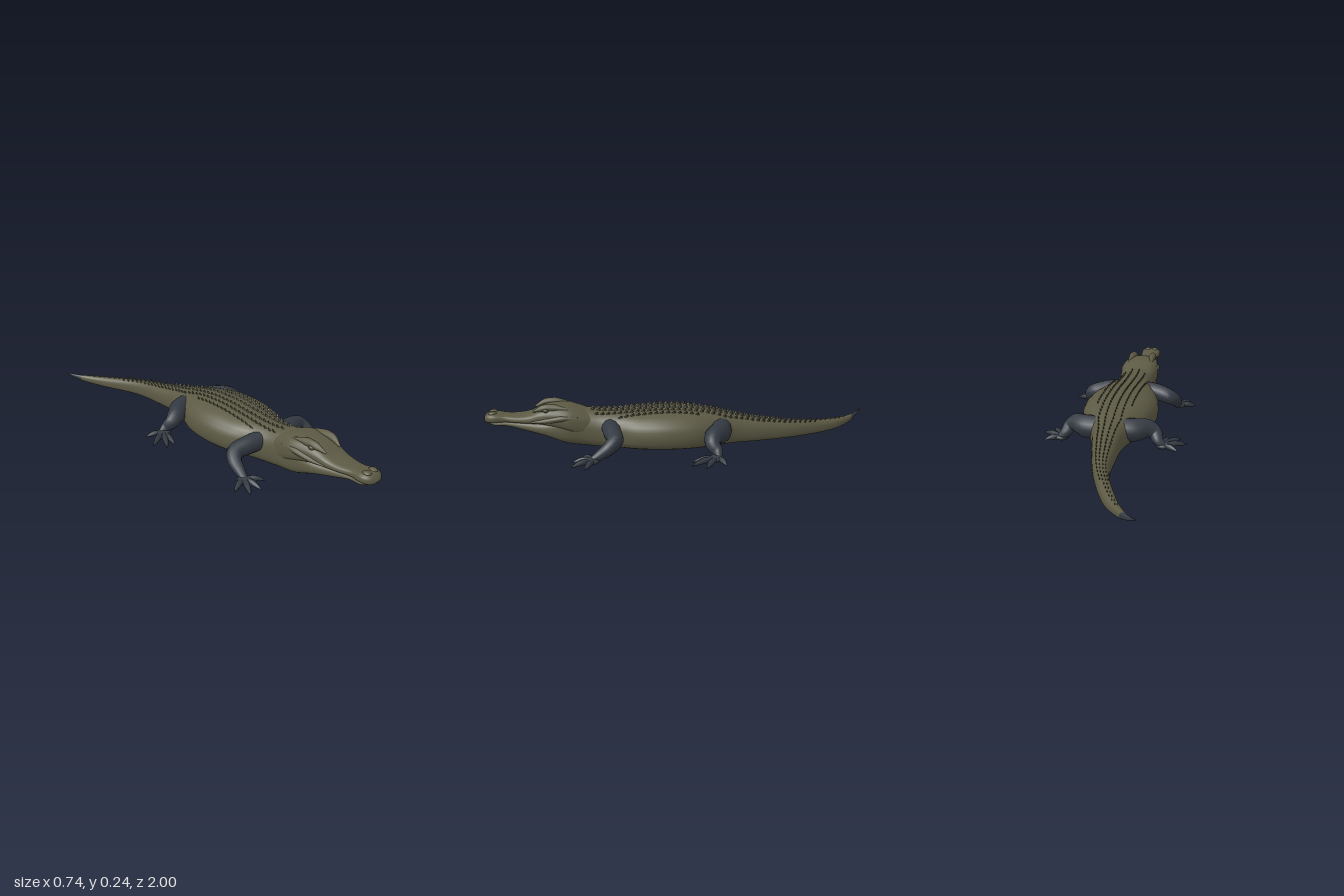
import * as THREE from 'three';
import { mergeGeometries } from 'three/addons/utils/BufferGeometryUtils.js';

const olive = new THREE.MeshStandardMaterial({ name: 'olive hide', color: 0x5c5a44 });
const ridge = new THREE.MeshStandardMaterial({ name: 'dark olive ridge', color: 0x4b4a39 });
const slate = new THREE.MeshStandardMaterial({ name: 'slate limb', color: 0x343a43 });

// Cross-sections from front to back: z, centre x, half width, bottom y, top y
const BODY = [
  [0.98, 0, 0.012, 0.143, 0.15], [0.95, 0, 0.042, 0.133, 0.155], [0.88, 0, 0.043, 0.127, 0.155],
  [0.8, 0, 0.056, 0.106, 0.155], [0.7, 0, 0.076, 0.078, 0.16], [0.6, 0, 0.097, 0.04, 0.2],
  [0.5, 0, 0.095, 0.022, 0.207], [0.42, 0, 0.102, 0.014, 0.198], [0.34, 0, 0.125, 0.012, 0.196],
  [0.24, 0, 0.168, 0.011, 0.2], [0.1, 0, 0.189, 0.01, 0.206], [-0.04, 0, 0.173, 0.01, 0.199],
  [-0.15, -0.003, 0.125, 0.01, 0.18], [-0.25, -0.01, 0.083, 0.01, 0.157], [-0.4, -0.025, 0.06, 0.01, 0.125],
  [-0.6, -0.063, 0.037, 0.011, 0.094], [-0.8, -0.147, 0.031, 0.013, 0.07], [-0.9, -0.21, 0.021, 0.026, 0.064],
  [-0.96, -0.26, 0.011, 0.047, 0.068], [-1, -0.3, 0.001, 0.076, 0.079],
];
const SKULL = [
  [1, 0, 0.004, 0.162, 0.166], [0.993, 0, 0.028, 0.152, 0.18], [0.975, 0, 0.047, 0.147, 0.192],
  [0.945, 0, 0.056, 0.146, 0.195], [0.89, 0, 0.049, 0.148, 0.186], [0.83, 0, 0.06, 0.145, 0.183],
  [0.77, 0, 0.07, 0.142, 0.192], [0.72, 0, 0.081, 0.138, 0.215], [0.66, 0, 0.092, 0.125, 0.23],
  [0.58, 0, 0.105, 0.1, 0.229], [0.52, 0, 0.098, 0.08, 0.213], [0.46, 0, 0.085, 0.08, 0.19],
];

// Smooth interpolation of the sections at a given z
function sample(S, z) {
  let i = 0;
  while (i < S.length - 2 && z < S[i + 1][0]) i++;
  const a = S[i], b = S[i + 1], h = b[0] - a[0];
  const t = THREE.MathUtils.clamp((z - a[0]) / h, 0, 1);
  const slope = (k, c) => {
    const p = S[Math.max(k - 1, 0)], q = S[Math.min(k + 1, S.length - 1)];
    return (q[c] - p[c]) / (q[0] - p[0]);
  };
  return [1, 2, 3, 4].map((c) =>
    (2 * t ** 3 - 3 * t * t + 1) * a[c] + (t ** 3 - 2 * t * t + t) * h * slope(i, c) +
    (3 * t * t - 2 * t ** 3) * b[c] + (t ** 3 - t * t) * h * slope(i + 1, c));
}

const pow = (v, p) => Math.sign(v) * Math.abs(v) ** p;

// Skin over rounded cross-sections between two z values
function loft(S, z0, z1, rings, topPower) {
  const N = 28, pos = [], idx = [];
  for (let i = 0; i <= rings; i++) {
    const z = z0 + (z1 - z0) * i / rings;
    const [x, w, lo, hi] = sample(S, z);
    const mid = lo + (hi - lo) * 0.42;
    for (let j = 0; j < N; j++) {
      const a = j / N * Math.PI * 2, c = Math.cos(a), s = Math.sin(a);
      const p = s >= 0 ? topPower : 0.7;
      pos.push(x + w * pow(c, p), mid + (s >= 0 ? hi - mid : mid - lo) * pow(s, p), z);
      if (i < rings) {
        const k = (j + 1) % N, A = i * N + j, B = i * N + k;
        idx.push(A, A + N, B, B, A + N, B + N);
      }
    }
  }
  const g = new THREE.BufferGeometry();
  g.setAttribute('position', new THREE.Float32BufferAttribute(pos, 3));
  g.setIndex(idx);
  g.computeVertexNormals();
  return g;
}

// Tube through points [x, y, z, radius], mirrored by side
function limb(points, side, segs = 20, radial = 12) {
  const curve = new THREE.CatmullRomCurve3(points.map((p) => new THREE.Vector3(p[0] * side, p[1], p[2])));
  const g = new THREE.TubeGeometry(curve, segs, 1, radial);
  const P = g.attributes.position, v = new THREE.Vector3();
  for (let i = 0; i <= segs; i++) {
    const c = curve.getPointAt(i / segs);
    const f = curve.getUtoTmapping(i / segs) * (points.length - 1);
    const k = Math.min(Math.floor(f), points.length - 2);
    const r = THREE.MathUtils.lerp(points[k][3], points[k + 1][3], f - k);
    for (let j = 0; j <= radial; j++) {
      const n = i * (radial + 1) + j;
      v.fromBufferAttribute(P, n).sub(c).multiplyScalar(r).add(c);
      P.setXYZ(n, v.x, Math.max(v.y, 0.002), v.z);
    }
  }
  return g;
}

function ball(x, y, z, sx, sy, sz) {
  return new THREE.SphereGeometry(1, 16, 10).scale(sx, sy, sz).translate(x, y, z);
}

export function createModel() {
  const model = new THREE.Group();
  model.name = 'crocodile';
  const add = (name, geometry, material, parent = model) => {
    const m = new THREE.Mesh(geometry, material);
    m.name = name;
    parent.add(m);
  };

  // Body with lower jaw, tail tip, skull with upper jaw
  add('body', loft(BODY, 0.98, -0.93, 100, 0.85), olive);
  add('tailTip', loft(BODY, -0.93, -1, 8, 0.85), slate);
  add('skull', loft(SKULL, 1, 0.46, 60, 0.72), olive);

  for (const side of [1, -1]) {
    const label = side > 0 ? 'left' : 'right';

    // Brow, eye, nostril and cheek
    add(label + 'Brow', limb([[0.045, 0.205, 0.75, 0.004], [0.056, 0.224, 0.7, 0.018],
      [0.058, 0.226, 0.65, 0.02], [0.065, 0.215, 0.57, 0.005]], side), olive);
    add(label + 'Eye', ball(side * 0.07, 0.216, 0.685, 0.012, 0.011, 0.016), ridge);
    add(label + 'Nostril', ball(side * 0.02, 0.19, 0.953, 0.018, 0.011, 0.022), olive);
    add(label + 'Cheek', limb([[0.07, 0.157, 0.76, 0.004], [0.082, 0.165, 0.69, 0.014],
      [0.095, 0.18, 0.61, 0.014], [0.09, 0.18, 0.53, 0.004]], side), olive);

    // Front leg
    const front = new THREE.Group();
    front.name = label + 'FrontLeg';
    add('leg', limb([[0.07, 0.125, 0.375, 0.046], [0.14, 0.12, 0.363, 0.045], [0.21, 0.102, 0.35, 0.041],
      [0.238, 0.075, 0.378, 0.034], [0.244, 0.045, 0.42, 0.026], [0.25, 0.024, 0.455, 0.018]], side), slate, front);
    add('foot', ball(side * 0.252, 0.02, 0.46, 0.034, 0.017, 0.038), slate, front);
    for (const [x, z] of [[0.17, 0.51], [0.238, 0.555], [0.305, 0.558], [0.342, 0.49]]) {
      add('toe', limb([[0.25, 0.02, 0.45, 0.012], [(0.25 + x) / 2, 0.022, (0.45 + z) / 2, 0.015],
        [0.065 + x * 0.74, 0.016, 0.117 + z * 0.74, 0.011], [x, 0.007, z, 0.001]], side, 10, 8), slate, front);
    }
    model.add(front);

    // Hind leg
    const hind = new THREE.Group();
    hind.name = label + 'HindLeg';
    add('leg', limb([[0.05, 0.1, -0.175, 0.058], [0.12, 0.1, -0.165, 0.058], [0.18, 0.098, -0.128, 0.046],
      [0.215, 0.075, -0.12, 0.036], [0.235, 0.045, -0.143, 0.027], [0.26, 0.024, -0.145, 0.018]], side), slate, hind);
    add('foot', ball(side * 0.258, 0.02, -0.135, 0.038, 0.017, 0.037), slate, hind);
    for (const [x, z] of [[0.278, -0.015], [0.33, -0.01], [0.37, -0.075], [0.337, -0.178]]) {
      add('toe', limb([[0.255, 0.02, -0.14, 0.012], [(0.255 + x) / 2, 0.022, (z - 0.14) / 2, 0.015],
        [0.066 + x * 0.74, 0.017, -0.036 + z * 0.74, 0.011], [x, 0.009, z, 0.001]], side, 10, 8), slate, hind);
    }
    model.add(hind);
  }

  // Rows of pointed scutes along the back, drawing together on the tail
  const scutes = [];
  for (const [offset, start, end] of [[0.02, 0.46, -0.9], [0.055, 0.44, -0.72], [0.088, 0.32, -0.08]]) {
    for (const side of [1, -1]) {
      for (let z = start; z > end; z -= 0.029) {
        const [x, w, lo, hi] = sample(BODY, z);
        const d = Math.min(offset, offset * 10 * w), mid = lo + (hi - lo) * 0.42;
        const c = Math.min(d / w, 0.95) ** (1 / 0.85);
        const y = mid + (hi - mid) * Math.sqrt(1 - c * c) ** 0.85;
        const g = new THREE.ConeGeometry(1, 1, 4).toNonIndexed();
        const size = THREE.MathUtils.clamp(w / 0.06, 0.45, 1);
        g.scale(0.006 * size, 0.02, 0.017 * size);
        g.applyMatrix4(new THREE.Matrix4().makeShear(0, 0, 0, -0.5, 0, 0));
        g.rotateZ(-side * c * 0.5);
        g.computeVertexNormals();
        scutes.push(g.translate(x + side * Math.min(d, 0.95 * w), y + 0.003, z));
      }
    }
  }
  add('backScutes', mergeGeometries(scutes), ridge);
  return model;
}
